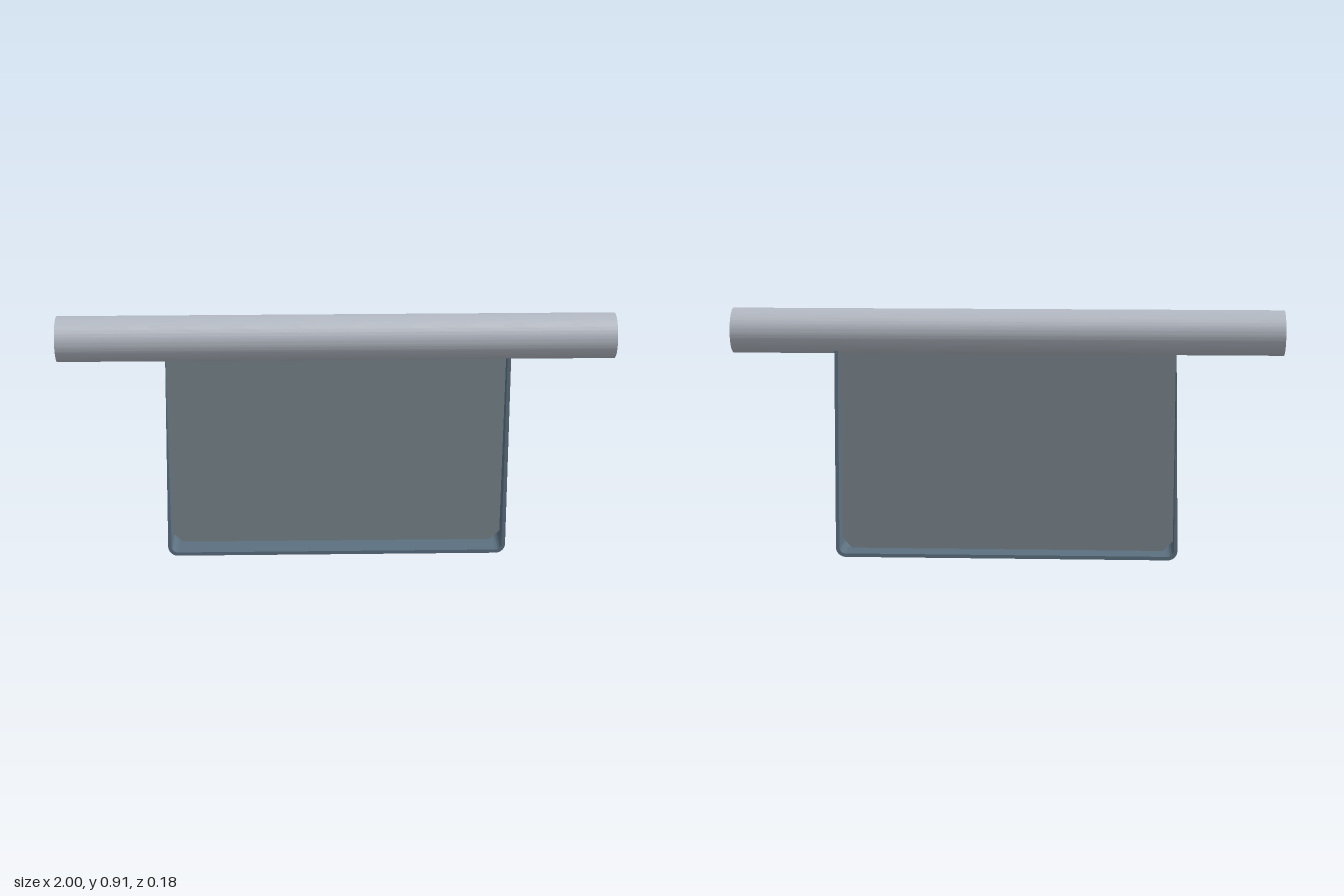
import * as THREE from 'three';
import { toCreasedNormals } from 'three/addons/utils/BufferGeometryUtils.js';

const TUBE_Y = 0.826, TUBE_R = 0.082, TUBE_INNER = 0.074;
const HALF_W = 0.626, WALL = 0.013, CORNER = 0.036;
const BOTTOM_Z = 0.092, TOP_Z = 0.046;

// height of the tube's underside at depth z
const underside = (z) => TUBE_Y - Math.sqrt(TUBE_R * TUBE_R - z * z);

function part(name, geometry, color) {
  const mesh = new THREE.Mesh(geometry, new THREE.MeshStandardMaterial({ color }));
  mesh.name = name;
  return mesh;
}

// hollow tube lying along x
function tubeGeometry() {
  const shape = new THREE.Shape().absarc(0, 0, TUBE_R, 0, Math.PI * 2, false);
  shape.holes.push(new THREE.Path().absarc(0, 0, TUBE_INNER, 0, Math.PI * 2, true));
  const g = new THREE.ExtrudeGeometry(shape, { depth: 2, bevelEnabled: false, curveSegments: 64 });
  g.translate(0, 0, -1).rotateY(Math.PI / 2).translate(0, TUBE_Y, 0);
  return toCreasedNormals(g, 0.6);
}

// U-shaped band that narrows upward and is coped to the tube
function frameGeometry() {
  const top = underside(TOP_Z), xi = HALF_W - WALL, ri = CORNER - WALL, c = HALF_W - CORNER;
  const s = new THREE.Shape();
  s.moveTo(-HALF_W, top);
  s.absarc(-c, CORNER, CORNER, Math.PI, Math.PI * 1.5, false);
  s.absarc(c, CORNER, CORNER, Math.PI * 1.5, Math.PI * 2, false);
  s.lineTo(HALF_W, top);
  s.lineTo(xi, top);
  s.absarc(c, CORNER, ri, Math.PI * 2, Math.PI * 1.5, true);
  s.absarc(-c, CORNER, ri, Math.PI * 1.5, Math.PI, true);
  s.lineTo(-xi, top);
  const g = new THREE.ExtrudeGeometry(s, { depth: 2, steps: 16, bevelEnabled: false, curveSegments: 10 });
  const p = g.attributes.position;
  for (let i = 0; i < p.count; i++) {
    const y = p.getY(i);
    const z = (p.getZ(i) - 1) * THREE.MathUtils.lerp(BOTTOM_Z, TOP_Z, y / top);
    p.setZ(i, z);
    if (y > top - 0.001) p.setY(i, underside(z));
  }
  return toCreasedNormals(g, 0.6);
}

// thin centre sheet with clipped lower corners
function panelGeometry() {
  const x = HALF_W - WALL, y0 = WALL, y1 = TUBE_Y - TUBE_R, cut = 0.036, t = 0.006;
  const s = new THREE.Shape([
    [-x, y1], [-x, y0 + cut], [-x + cut, y0], [x - cut, y0], [x, y0 + cut], [x, y1],
  ].map(([a, b]) => new THREE.Vector2(a, b)));
  return new THREE.ExtrudeGeometry(s, { depth: t, bevelEnabled: false }).translate(0, 0, -t / 2);
}

export function createModel() {
  const group = new THREE.Group();
  group.name = 'panelHungFromTube';
  group.add(
    part('tube', tubeGeometry(), 0xb4bac4),
    part('frame', frameGeometry(), 0x5c7080),
    part('panel', panelGeometry(), 0x7c8890),
  );
  return group;
}
